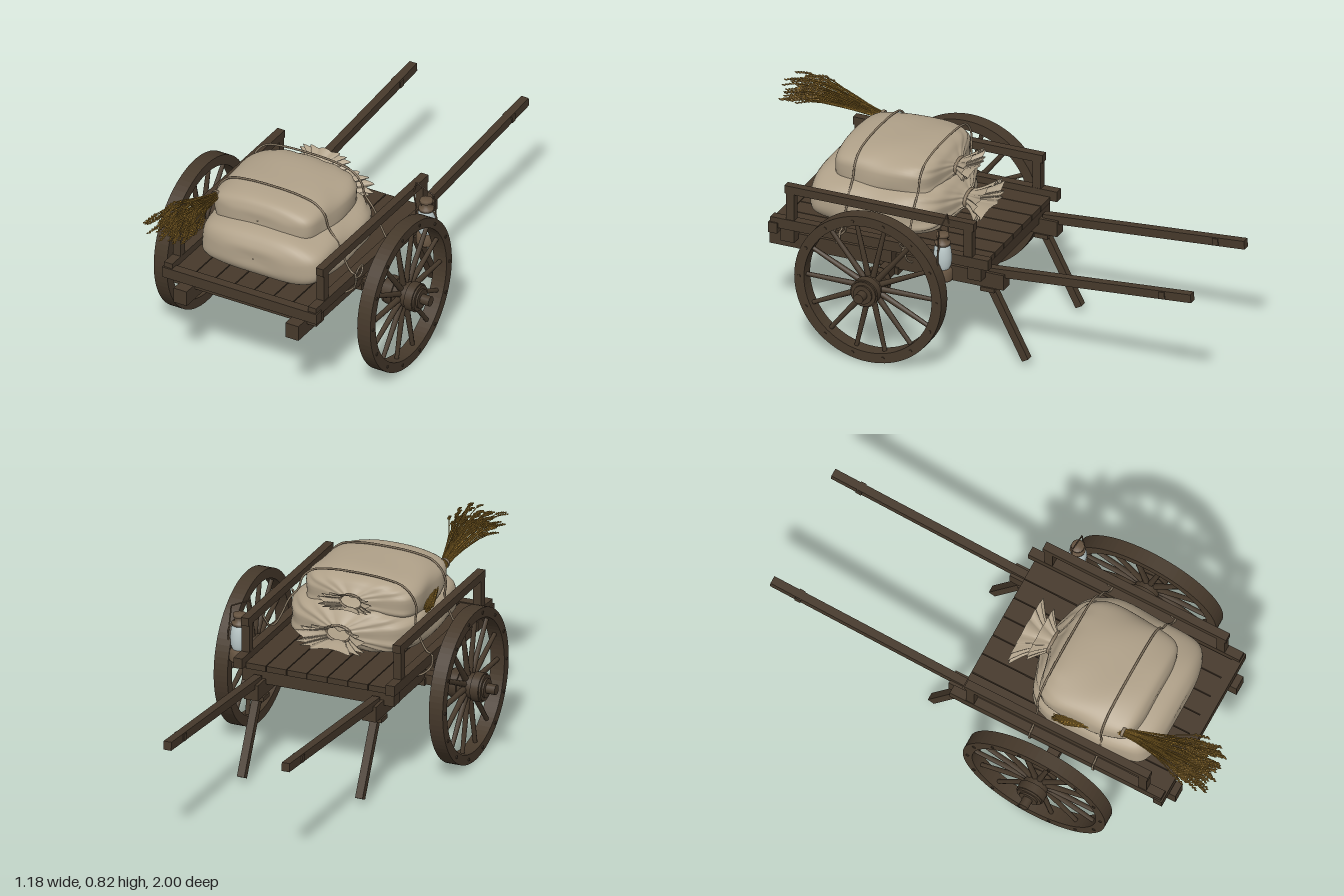
import * as THREE from 'three';
import { mergeGeometries } from 'three/addons/utils/BufferGeometryUtils.js';

const V = (x, y, z) => new THREE.Vector3(x, y, z);
const mat = (name, color, side = THREE.FrontSide) => {
  const m = new THREE.MeshStandardMaterial({ color, side });
  m.name = name;
  return m;
};

export function createModel() {
  const wood = mat('dark wood', 0x46392b);
  const sackCloth = mat('sack cloth', 0xb0a189, THREE.DoubleSide);
  const ropeMat = mat('rope', 0x8c7c66);
  const straw = mat('straw', 0xa07a30);
  const grain = mat('grain', 0x94702a);
  const metal = mat('lantern metal', 0x655340);
  const glass = mat('lantern glass', 0xbccaca);
  const root = new THREE.Group();
  root.name = 'handcart';

  const add = (name, geo, m, x = 0, y = 0, z = 0, parent = root) => {
    const mesh = new THREE.Mesh(geo, m);
    mesh.name = name;
    mesh.position.set(x, y, z);
    parent.add(mesh);
    return mesh;
  };
  const box = (name, w, h, d, x, y, z) => add(name, new THREE.BoxGeometry(w, h, d), wood, x, y, z);
  // square bar running between two points
  const bar = (name, w, h, p, q) => {
    const mid = p.clone().add(q).multiplyScalar(0.5);
    const mesh = box(name, w, h, p.distanceTo(q), mid.x, mid.y, mid.z);
    mesh.lookAt(q);
  };
  const tube = (pts, r, closed = false, segs = 24) =>
    new THREE.TubeGeometry(new THREE.CatmullRomCurve3(pts, closed, 'centripetal'), segs, r, 6, closed);

  // bed planks and cross beams
  for (let i = 0; i < 7; i++) box('bedPlank', 0.085, 0.025, 0.89, (i - 3) * 0.089, 0.437, 0.325);
  for (const z of [0.735, 0.31, -0.08]) box('crossBeam', 0.66, 0.055, 0.06, 0, 0.395, z);
  box('frontCrossbar', 0.712, 0.046, 0.04, 0, 0.431, 0.787);

  for (const s of [-1, 1]) {
    // chassis, side rails, handles and prop legs
    box('chassisBeam', 0.06, 0.066, 1.02, s * 0.257, 0.357, 0.322);
    box('sideRail', 0.038, 0.044, 0.95, s * 0.331, 0.454, 0.325);
    box('topRail', 0.034, 0.034, 0.825, s * 0.33, 0.608, 0.327);
    for (const z of [0.715, -0.06]) box('railPost', 0.034, 0.16, 0.036, s * 0.33, 0.52, z);
    bar('handle', 0.034, 0.036, V(s * 0.257, 0.387, -0.12), V(s * 0.257, 0.451, -0.998));
    bar('handleBand', 0.044, 0.03, V(s * 0.257, 0.441, -0.86), V(s * 0.257, 0.443, -0.885));
    bar('propLeg', 0.032, 0.03, V(s * 0.257, 0.335, -0.115), V(s * 0.257, 0.024, -0.276));
    box('legBracket', 0.074, 0.018, 0.06, s * 0.257, 0.316, -0.12);
    box('axleBlock', 0.074, 0.03, 0.08, s * 0.257, 0.316, 0.308);

    // wheel, modelled about its axle along x
    const wheel = new THREE.Group();
    wheel.name = s > 0 ? 'leftWheel' : 'rightWheel';
    wheel.position.set(s * 0.468, 0.321, 0.308);
    root.add(wheel);
    const ring = new THREE.Shape().absarc(0, 0, 0.32, 0, Math.PI * 2);
    ring.holes.push(new THREE.Path().absarc(0, 0, 0.278, 0, Math.PI * 2, true));
    const rim = new THREE.ExtrudeGeometry(ring, { depth: 0.06, bevelEnabled: false, curveSegments: 40 });
    add('rim', rim.translate(0, 0, -0.03).rotateY(Math.PI / 2), wood, 0, 0, 0, wheel);
    const spokes = [], bolts = [];
    for (let i = 0; i < 14; i++) {
      const a = (i + 0.5) / 14 * Math.PI * 2;
      spokes.push(new THREE.CylinderGeometry(0.009, 0.013, 0.25, 8).translate(0, 0.165, 0).rotateX(a));
      bolts.push(new THREE.CylinderGeometry(0.007, 0.007, 0.005, 6).rotateZ(Math.PI / 2)
        .translate(s * 0.031, 0.299, 0).rotateX(a));
    }
    add('spokes', mergeGeometries(spokes), wood, 0, 0, 0, wheel);
    add('rimBolts', mergeGeometries(bolts), wood, 0, 0, 0, wheel);
    // hub rings as radius, length, offset
    for (const [r, len, x] of [[0.056, 0.012, -0.07], [0.06, 0.035, -0.048], [0.052, 0.07, 0],
      [0.06, 0.035, 0.048], [0.054, 0.012, 0.068], [0.04, 0.012, 0.076]])
      add('hubRing', new THREE.CylinderGeometry(r, r, len, 24).rotateZ(Math.PI / 2), wood, s * x, 0, 0, wheel);
  }
  add('axle', new THREE.CylinderGeometry(0.021, 0.021, 1.178, 16).rotateZ(Math.PI / 2), wood, 0, 0.321, 0.308);
  box('axleBeam', 0.74, 0.042, 0.05, 0, 0.322, 0.308);

  // sack lofted along z; stations are [z, half width, half height, centre y, pleat depth]
  const sack = (name, cx, taper, stations) => {
    const N = 72, M = 52, pos = [], idx = [];
    const a = new THREE.CatmullRomCurve3(stations.map(s => V(s[0], s[1], s[2])), false, 'centripetal');
    const b = new THREE.CatmullRomCurve3(stations.map(s => V(s[0], s[3], s[4])), false, 'centripetal');
    const pw = (v, e) => Math.sign(v) * Math.abs(v) ** e;
    for (let i = 0; i <= M; i++) {
      const p = a.getPoint(i / M), q = b.getPoint(i / M);
      for (let j = 0; j < N; j++) {
        const t = j / N * Math.PI * 2, sn = Math.sin(t), cs = Math.cos(t);
        const e = 0.62 + 0.14 * sn; // flat underside, domed top
        const k = 1 + q.z * Math.sin(t * 13) + 0.013 * Math.sin(t * 5 + p.x * 22);
        pos.push(cx + p.y * k * pw(cs, e) * (1 - taper * sn), q.y + p.z * k * pw(sn, e), p.x);
        if (i < M) {
          const n = i * N + (j + 1) % N, c = i * N + j;
          idx.push(c, c + N, n, n, c + N, n + N);
        }
      }
    }
    const g = new THREE.BufferGeometry();
    g.setAttribute('position', new THREE.Float32BufferAttribute(pos, 3));
    g.setIndex(idx);
    g.computeVertexNormals();
    add(name, g, sackCloth);
  };
  sack('lowerSack', 0, 0.08, [
    [0.7, 0.002, 0.002, 0.545, 0], [0.697, 0.16, 0.055, 0.545, 0], [0.655, 0.26, 0.094, 0.55, 0],
    [0.55, 0.283, 0.104, 0.555, 0], [0.4, 0.288, 0.105, 0.556, 0], [0.25, 0.278, 0.103, 0.555, 0.006],
    [0.16, 0.22, 0.088, 0.55, 0.03], [0.12, 0.12, 0.055, 0.548, 0.06], [0.09, 0.05, 0.03, 0.548, 0.08],
    [0.06, 0.07, 0.032, 0.55, 0.1], [0.005, 0.135, 0.05, 0.555, 0.14]]);
  sack('upperSack', -0.028, 0.04, [
    [0.615, 0.002, 0.002, 0.668, 0], [0.612, 0.14, 0.045, 0.668, 0], [0.585, 0.215, 0.08, 0.668, 0],
    [0.5, 0.243, 0.095, 0.668, 0], [0.38, 0.25, 0.098, 0.668, 0], [0.25, 0.242, 0.093, 0.668, 0.005],
    [0.195, 0.205, 0.077, 0.667, 0.025], [0.165, 0.1, 0.045, 0.667, 0.06], [0.145, 0.045, 0.026, 0.668, 0.08],
    [0.125, 0.06, 0.028, 0.672, 0.1], [0.085, 0.105, 0.035, 0.685, 0.14]]);
  const tie = (name, x, y, z, w, h) => add(name,
    new THREE.TorusGeometry(1, 0.12, 6, 28).scale(w, h, 0.06), ropeMat, x, y, z);
  tie('lowerSackTie', 0, 0.548, 0.088, 0.054, 0.034);
  tie('upperSackTie', -0.028, 0.668, 0.145, 0.048, 0.03);

  // lashing ropes over the load and under the bed
  for (const z of [0.21, 0.495]) {
    const pts = [[0, 0.768], [0.1, 0.762], [0.17, 0.745], [0.212, 0.705], [0.228, 0.655], [0.27, 0.6], [0.302, 0.53],
      [0.332, 0.48], [0.352, 0.472], [0.353, 0.43], [0.335, 0.4], [0.28, 0.366], [0, 0.362], [-0.28, 0.366],
      [-0.335, 0.4], [-0.353, 0.43], [-0.352, 0.472], [-0.332, 0.48], [-0.302, 0.53], [-0.28, 0.6],
      [-0.285, 0.66], [-0.265, 0.71], [-0.225, 0.745], [-0.15, 0.762]];
    add('lashingRope', tube(pts.map(p => V(p[0], p[1], z)), 0.0045, true, 120), ropeMat);
    add('ropeLoop', tube([V(0.352, 0.46, z), V(0.383, 0.49, z + 0.01), V(0.373, 0.515, z - 0.02),
      V(0.352, 0.49, z - 0.025)], 0.004, true), ropeMat);
    add('ropeEnd', tube([V(0.353, 0.47, z), V(0.36, 0.45, z + 0.01), V(0.356, 0.42, z + 0.015)], 0.004), ropeMat);
  }

  // straw sheaf: stalks bound at a knot, fanning out to drooping grain heads
  let seed = 7;
  const rnd = () => (seed = (seed * 16807) % 2147483647) / 2147483647;
  const knot = V(-0.242, 0.7, 0.575), stalks = [], grains = [];
  for (let i = 0; i < 90; i++) {
    const ang = rnd() * Math.PI * 2, r = Math.sqrt(rnd());
    const ox = Math.cos(ang) * r, oy = Math.sin(ang) * r;
    const start = V(-0.292 + ox * 0.014, 0.625 + oy * 0.014, 0.28 + rnd() * 0.06);
    const z = 0.87 + rnd() * 0.125;
    const curve = new THREE.CatmullRomCurve3([start, V(knot.x + ox * 0.016, knot.y + oy * 0.016, knot.z),
      V(-0.24 + ox * 0.062, 0.748 + oy * 0.04, 0.76), V(-0.24 + ox * 0.1, 0.767 + oy * 0.053, z - 0.06),
      V(-0.24 + ox * 0.122, 0.754 + oy * 0.05, z)]);
    stalks.push(new THREE.TubeGeometry(curve, 12, 0.0022, 4));
    for (let k = 0; k < 9; k++) {
      const p = curve.getPoint(1 - k * 0.03);
      grains.push(new THREE.OctahedronGeometry(1, 0).scale(0.0042, 0.0042, 0.008)
        .translate(p.x + (k % 2 - 0.5) * 0.006, p.y, p.z));
    }
  }
  add('strawStalks', mergeGeometries(stalks), straw);
  add('grainHeads', mergeGeometries(grains), grain);
  tie('sheafTie', knot.x, knot.y, knot.z, 0.02, 0.02);

  // hanging lantern
  const lantern = new THREE.Group();
  lantern.name = 'lantern';
  lantern.position.set(0.402, 0, 0.025);
  root.add(lantern);
  const lathe = (name, pts, m) =>
    add(name, new THREE.LatheGeometry(pts.map(p => new THREE.Vector2(...p)), 20), m, 0, 0, 0, lantern);
  lathe('lanternBase', [[0, 0.387], [0.04, 0.387], [0.042, 0.395], [0.041, 0.425], [0.032, 0.437], [0, 0.437]], metal);
  lathe('lanternGlass', [[0.028, 0.435], [0.036, 0.455], [0.038, 0.49], [0.034, 0.525], [0.027, 0.543]], glass);
  lathe('lanternCap', [[0, 0.54], [0.031, 0.54], [0.032, 0.552], [0.02, 0.556], [0.02, 0.574],
    [0.027, 0.576], [0.026, 0.588], [0, 0.588]], metal);
  for (const s of [-1, 1])
    add('lanternSideTube', tube([V(s * 0.036, 0.41, 0), V(s * 0.046, 0.45, 0), V(s * 0.046, 0.52, 0),
      V(s * 0.026, 0.548, 0)], 0.0035), metal, 0, 0, 0, lantern);
  const wire = [V(-0.045, 0.53, 0), V(-0.058, 0.6, 0), V(-0.045, 0.653, 0), V(0.036, 0.615, 0), V(0.045, 0.53, 0)];
  for (let i = 0; i < 4; i++)
    add('lanternHandle', new THREE.TubeGeometry(new THREE.LineCurve3(wire[i], wire[i + 1]), 1, 0.003, 6),
      metal, 0, 0, 0, lantern);
  return root;
}
